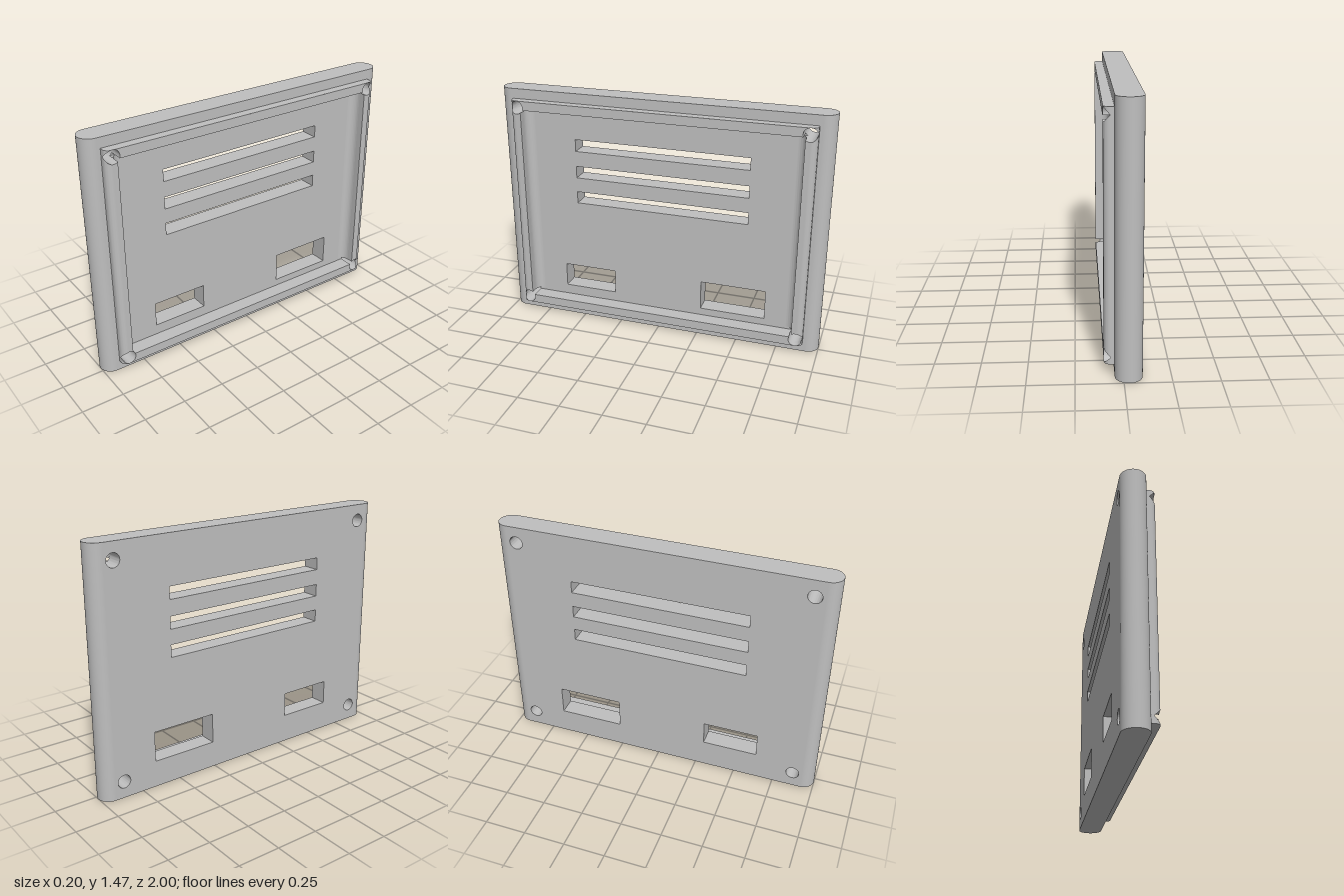
import * as THREE from 'three';
import { toCreasedNormals } from 'three/addons/utils/BufferGeometryUtils.js';

// Outlines are drawn in (u, y) with u = -z and y measured from mid height, then extended along x.
const HALF_H = 0.7335, FLAT = 0.9275;
const BACK = -0.1, FLOOR = 0.01, FACE = 0.045, FRONT = 0.1;
const LIP_Y = 0.6735, POCKET_U = 0.845, POCKET_Y = 0.6185;
const HOLE_U = 0.87, HOLE_Y = 0.6335, HOLE_R = 0.04;
const LIP_U = 0.91, ROUND = 0.035, FILLET = 0.05;
const N = 14, M = 2 * N + 2; // points per hole arc, points per pocket corner

const rect = (u0, u1, y0, y1, C = THREE.Path) => new C([[u0, y0], [u1, y0], [u1, y1], [u0, y1]].map(([u, y]) => new THREE.Vector2(u, y)));

// Angle at which a screw hole breaks through the side of the lip
const breakAngle = w => Math.acos(Math.min(1, (w - HOLE_U) / HOLE_R));

// Pocket outline, with a screw hole eating into each corner
function pocketLoop(w) {
  const a = breakAngle(w), T = 2 * Math.PI;
  const dy = HOLE_Y - POCKET_Y, du = HOLE_U - POCKET_U;
  const start = Math.atan2(dy, -Math.sqrt(HOLE_R ** 2 - dy ** 2));
  const end = T + Math.atan2(Math.sqrt(HOLE_R ** 2 - du ** 2), -du);
  const corner = [];
  for (const [from, to] of [[start, T - a], [T + a, end]])
    for (let i = 0; i <= N; i++) {
      const t = from + (to - from) * i / N;
      corner.push([HOLE_U + HOLE_R * Math.cos(t), -HOLE_Y + HOLE_R * Math.sin(t)]);
    }
  return [[1, 1], [1, -1], [-1, -1], [-1, 1]].flatMap(([su, sy]) => {
    const pts = corner.map(([u, y]) => new THREE.Vector2(u * su, y * sy));
    return su * sy < 0 ? pts.reverse() : pts;
  });
}

// Outer outline of the lip, with points at the hole notches
function lipLoop(w) {
  const h = HOLE_R * Math.sin(breakAngle(w));
  const ys = [-LIP_Y, -HOLE_Y - h, -HOLE_Y + h, HOLE_Y - h, HOLE_Y + h, LIP_Y];
  return [1, -1].flatMap(s => ys.map(y => new THREE.Vector2(w * s, y * s)));
}

// Wall through a stack of loops, leaving out some segments
function loft(levels, loopOf, skip, inward) {
  const pos = [], loops = levels.map(([x, w]) => loopOf(w).map(p => [x, p.y, -p.x]));
  for (let i = 0; i + 1 < loops.length; i++) {
    const n = loops[i].length;
    for (let j = 0; j < n; j++) {
      if (skip(j)) continue;
      const k = (j + 1) % n;
      const [a, b, c, d] = [loops[i][j], loops[i][k], loops[i + 1][k], loops[i + 1][j]];
      pos.push(...(inward ? [a, c, b, a, d, c] : [a, b, c, a, c, d]).flat());
    }
  }
  const g = new THREE.BufferGeometry();
  g.setAttribute('position', new THREE.Float32BufferAttribute(pos, 3));
  return toCreasedNormals(g, 0.6);
}

function extrudeX(shape, x0, x1) {
  const g = new THREE.ExtrudeGeometry(shape, { depth: x1 - x0, bevelEnabled: false, curveSegments: 32 });
  return toCreasedNormals(g.rotateY(Math.PI / 2).translate(x0, 0, 0), 0.6);
}

export function createModel() {
  const model = new THREE.Group();
  model.name = 'ventedCover';
  const material = new THREE.MeshStandardMaterial({ color: 0xbfbfbf });
  material.name = 'grey';
  const add = (name, geometry) => {
    const mesh = new THREE.Mesh(geometry, material);
    mesh.name = name;
    mesh.position.y = HALF_H;
    model.add(mesh);
    return mesh;
  };

  // Back panel with vents, port openings and screw holes
  const panel = rect(-FLAT, FLAT, -HALF_H, HALF_H, THREE.Shape);
  const openings = [0.765, 0.93, 1.1].map(y => [-0.537, 0.537, y, y + 0.074]);
  openings.push([-0.635, -0.3, 0.178, 0.328], [0.263, 0.663, 0.16, 0.343]);
  for (const [u0, u1, y0, y1] of openings) panel.holes.push(rect(u0, u1, y0 - HALF_H, y1 - HALF_H));
  for (const su of [-1, 1]) for (const sy of [-1, 1])
    panel.holes.push(new THREE.Path().absarc(su * HOLE_U, sy * HOLE_Y, HOLE_R, 0, Math.PI * 2));
  add('backPanel', extrudeX(panel, BACK, FLOOR));

  // Frame around the pocket
  const frame = rect(-FLAT, FLAT, -HALF_H, HALF_H, THREE.Shape);
  frame.holes.push(new THREE.Path(pocketLoop(1)));
  add('frame', extrudeX(frame, FLOOR, FACE));

  // Half-round side edges and concave fillets inside the pocket
  const edgeR = (FACE - BACK) / 2;
  const fillet = new THREE.Shape();
  fillet.moveTo(FLOOR, POCKET_U);
  fillet.lineTo(FLOOR, POCKET_U - FILLET);
  fillet.absarc(FLOOR + FILLET, POCKET_U - FILLET, FILLET, Math.PI, Math.PI / 2, true);
  const len = 2 * 0.603;
  const filletGeo = toCreasedNormals(new THREE.ExtrudeGeometry(fillet, { depth: len, bevelEnabled: false, curveSegments: 12 })
    .rotateX(-Math.PI / 2).translate(0, -len / 2, 0), 0.6);
  for (const s of [-1, 1]) {
    const edge = new THREE.CylinderGeometry(edgeR, edgeR, 2 * HALF_H, 32, 1, false, -s * Math.PI / 2, Math.PI);
    add(s > 0 ? 'frontEdge' : 'rearEdge', edge.translate((FACE + BACK) / 2, 0, s * FLAT));
    add(s > 0 ? 'frontFillet' : 'rearFillet', filletGeo).rotation.x = s > 0 ? Math.PI : 0;
  }

  // Raised lip with rounded outer sides, notched by the screw holes
  const levels = [[FACE, LIP_U]];
  for (let i = 0; i <= 12; i++) {
    const t = i / 12 * Math.PI / 2;
    levels.push([FRONT - ROUND + ROUND * Math.sin(t), LIP_U - ROUND + ROUND * Math.cos(t)]);
  }
  add('lipOuterWall', loft(levels, lipLoop, j => [1, 3, 7, 9].includes(j), false));
  add('lipInnerWall', loft(levels, pocketLoop, j => j % M === N, true));

  // Flat top of the lip: one bar between each pair of holes
  const top = pocketLoop(LIP_U - ROUND);
  const ring = [...top, ...top];
  for (let k = 0; k < 4; k++) {
    const bar = new THREE.Shape(ring.slice(N + 1 + k * M, N + 1 + (k + 1) * M));
    add('lipTop', new THREE.ShapeGeometry(bar).rotateY(Math.PI / 2).translate(FRONT, 0, 0));
  }
  return model;
}
